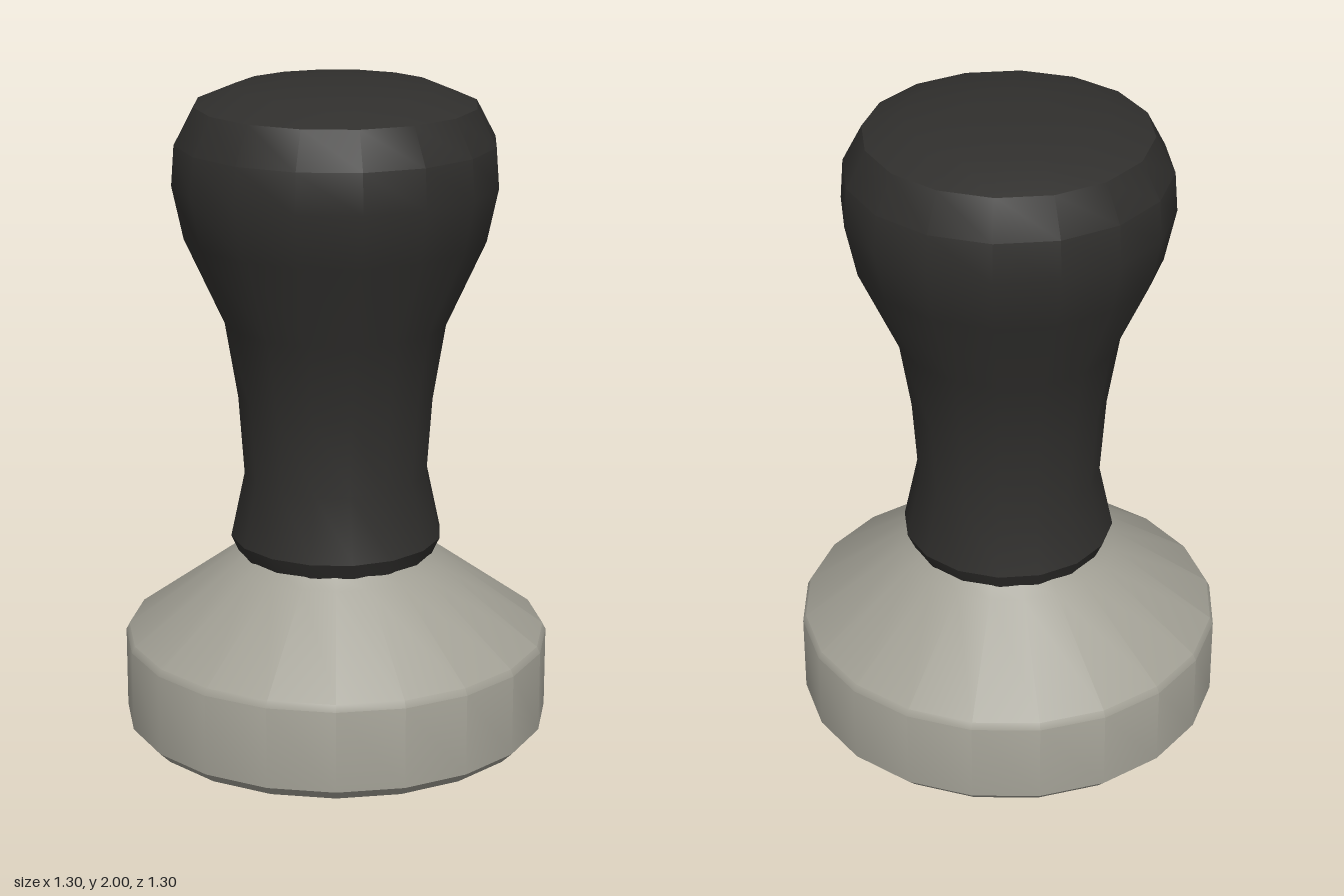
import * as THREE from 'three';
import { toCreasedNormals } from 'three/addons/utils/BufferGeometryUtils.js';

// Turned part: profile of [radius, height] from bottom to top
function turned(name, profile, sides, color) {
  const points = profile.map(([r, y]) => new THREE.Vector2(r, y));
  const geometry = toCreasedNormals(new THREE.LatheGeometry(points, sides), THREE.MathUtils.degToRad(30));
  const mesh = new THREE.Mesh(geometry, new THREE.MeshStandardMaterial({ color }));
  mesh.name = name;
  return mesh;
}

export function createModel() {
  const group = new THREE.Group();
  group.name = 'tamper';

  // Metal base: chamfered foot, straight wall, conical shoulder
  group.add(turned('base', [
    [0, 0], [0.615, 0], [0.65, 0.035], [0.65, 0.285], [0.64, 0.305],
    [0.33, 0.53], [0.295, 0.565],
  ], 20, 0xa3a196));

  // Handle: flared collar, slim waist, bulbous grip, shallow domed top
  group.add(turned('handle', [
    [0, 0.56], [0.3, 0.56], [0.323, 0.61], [0.28, 0.81], [0.297, 1.05],
    [0.335, 1.28], [0.453, 1.54], [0.487, 1.7], [0.478, 1.82], [0.42, 1.93],
    [0.3, 1.98], [0.13, 1.998], [0, 2],
  ], 16, 0x302f2d));

  return group;
}
